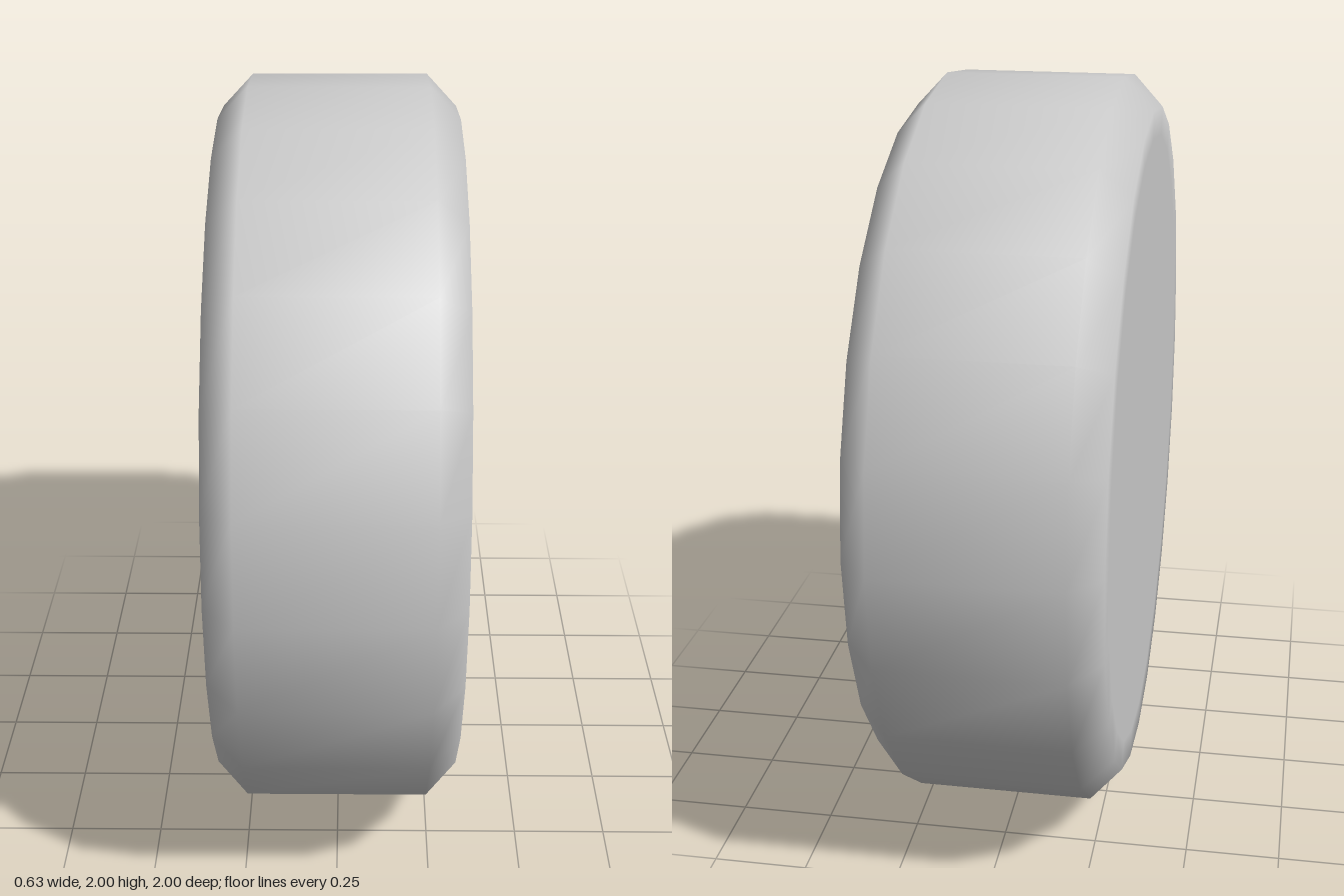
import * as THREE from 'three';

const SIDES = 24;
const FACE_X = 0.16;   // front of the spoke disc
const FLOOR_X = 0.095; // bottom of the windows

export function createModel() {
  const wheel = new THREE.Group();
  wheel.name = 'wheel';
  const material = new THREE.MeshStandardMaterial({ color: 0xcccccc });

  function add(name, geometry) {
    const mesh = new THREE.Mesh(geometry, material);
    mesh.name = name;
    mesh.position.y = 1;
    wheel.add(mesh);
    return mesh;
  }

  // Turned part about the x axis; profile is [radius, x] from back to front
  function turned(name, profile) {
    const points = profile.map(([r, x]) => new THREE.Vector2(r, x));
    return add(name, new THREE.LatheGeometry(points, SIDES).rotateZ(-Math.PI / 2));
  }

  // Tyre with closed flat back, bevelled tread and rounded front wall
  turned('tyre', [
    [0, -0.315], [0.84, -0.315], [0.915, -0.315], [1, -0.235],
    [1, 0.235], [0.915, 0.315], [0.81, 0.315], [0.73, 0.25], [0.71, FACE_X - 0.01],
  ]);

  // Spoke disc with six trapezoid windows
  const polar = (r, a) => new THREE.Vector2(r * Math.cos(a), r * Math.sin(a));
  const rim = [];
  for (let i = 0; i < SIDES; i++) rim.push(polar(0.712, (i / SIDES) * Math.PI * 2));
  const disc = new THREE.Shape(rim);
  for (let i = 0; i < 6; i++) {
    const a = Math.PI / 2 + (i * Math.PI) / 3;
    const inner = 0.215, outer = 0.233; // half angles of the two curved ends
    disc.holes.push(new THREE.Path([
      polar(0.394, a - inner), polar(0.694, a - outer), polar(0.696, a),
      polar(0.694, a + outer), polar(0.394, a + inner), polar(0.392, a),
    ]));
  }
  add('spokeDisc', new THREE.ExtrudeGeometry(disc, { depth: FACE_X - FLOOR_X, bevelEnabled: false })
    .rotateY(Math.PI / 2).translate(FLOOR_X, 0, 0));

  // Floor seen through the windows
  add('windowFloor', new THREE.CircleGeometry(0.71, SIDES)
    .rotateY(Math.PI / 2).translate(FLOOR_X + 0.002, 0, 0));

  // Domed hub with a shallow recess in its centre
  turned('hubDome', [[0.367, FACE_X - 0.01], [0.365, 0.195], [0.335, 0.225], [0.26, 0.25], [0.155, 0.265]]);
  turned('hubRecessWall', [[0.155, 0.265], [0.118, 0.237]]);
  add('hubRecessFloor', new THREE.CircleGeometry(0.118, SIDES)
    .rotateY(Math.PI / 2).translate(0.237, 0, 0));

  return wheel;
}
